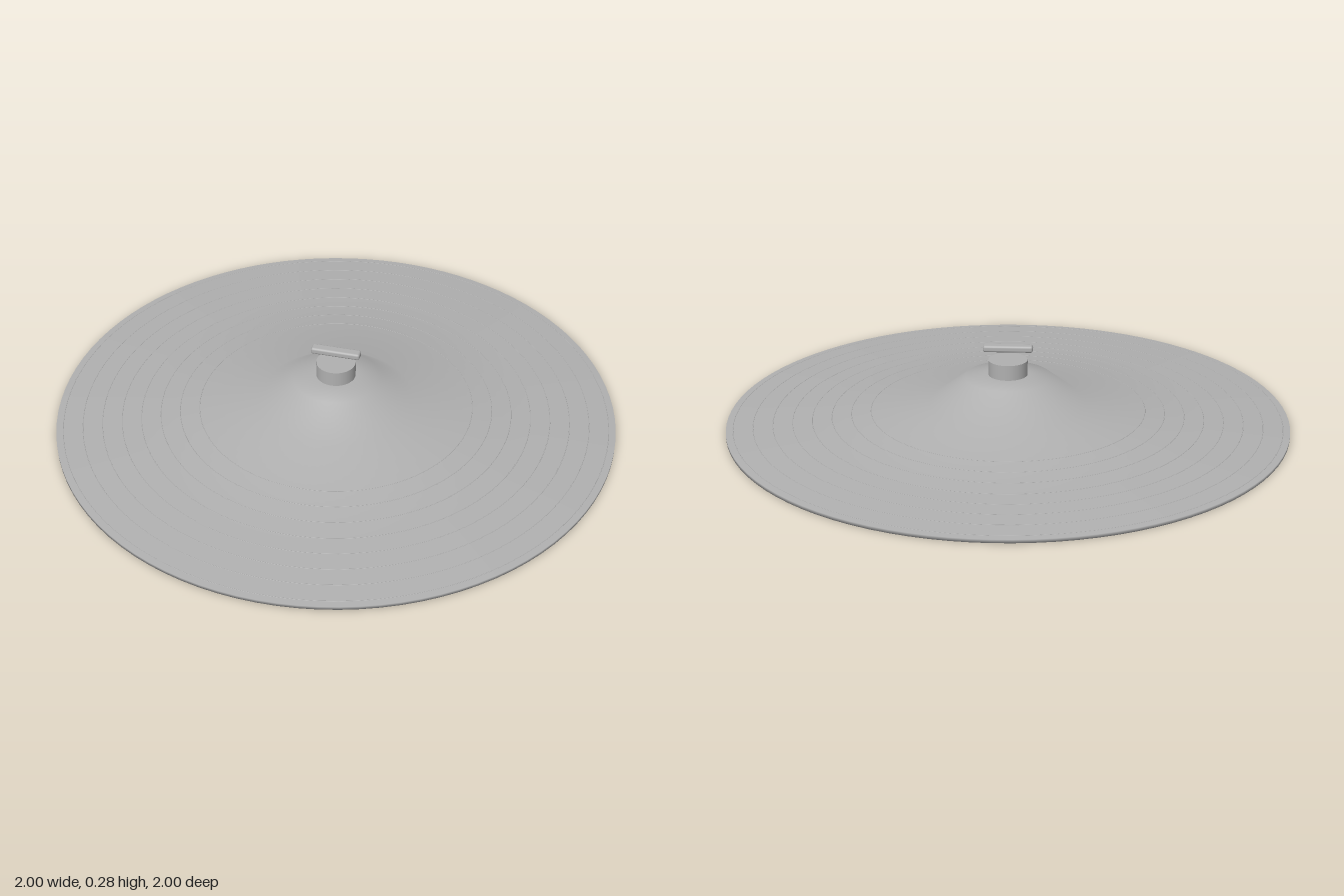
import * as THREE from 'three';
import { RoundedBoxGeometry } from 'three/addons/geometries/RoundedBoxGeometry.js';

export function createModel() {
  const model = new THREE.Group();
  model.name = 'cymbal';
  const metal = new THREE.MeshStandardMaterial({ color: 0xb0b0b0 });
  metal.name = 'grey metal';

  const add = (name, geometry, y) => {
    const mesh = new THREE.Mesh(geometry, metal);
    mesh.name = name;
    mesh.position.y = y;
    model.add(mesh);
    return mesh;
  };

  // Thin shell: underside from the centre out, round the rim, then back over the bell
  const top = [[1, 0.012], [0.71, 0.021], [0.28, 0.065], [0.155, 0.162], [0.07, 0.17], [0, 0.17]];
  const under = [[0, 0.16], [0.07, 0.16], [0.15, 0.152], [0.275, 0.054], [0.71, 0.009], [1, 0]];
  const profile = [...under, ...top].map(([r, y]) => new THREE.Vector2(r, y));
  add('plate', new THREE.LatheGeometry(profile, 96), 0);

  // Fine raised grooves following the slope of the bow
  const bowHeight = (r) => r < 0.71
    ? THREE.MathUtils.mapLinear(r, 0.28, 0.71, 0.065, 0.021)
    : THREE.MathUtils.mapLinear(r, 0.71, 1, 0.021, 0.012);
  for (let i = 0; i < 8; i++) {
    const r = 0.489 + i * 0.0695;
    const ring = new THREE.TorusGeometry(r, 0.0016, 6, 96).rotateX(Math.PI / 2);
    add('groove' + (i + 1), ring, bowHeight(r) - 0.0005);
  }

  // Felt washer on the bell and the sleeve end below it
  add('feltWasher', new THREE.CylinderGeometry(0.07, 0.07, 0.058, 32), 0.196);
  add('sleeve', new THREE.CylinderGeometry(0.05, 0.05, 0.026, 24), 0.155);

  // Bar of the wing nut, hovering above the felt
  add('wingNut', new RoundedBoxGeometry(0.176, 0.024, 0.036, 3, 0.008), 0.267);

  return model;
}
